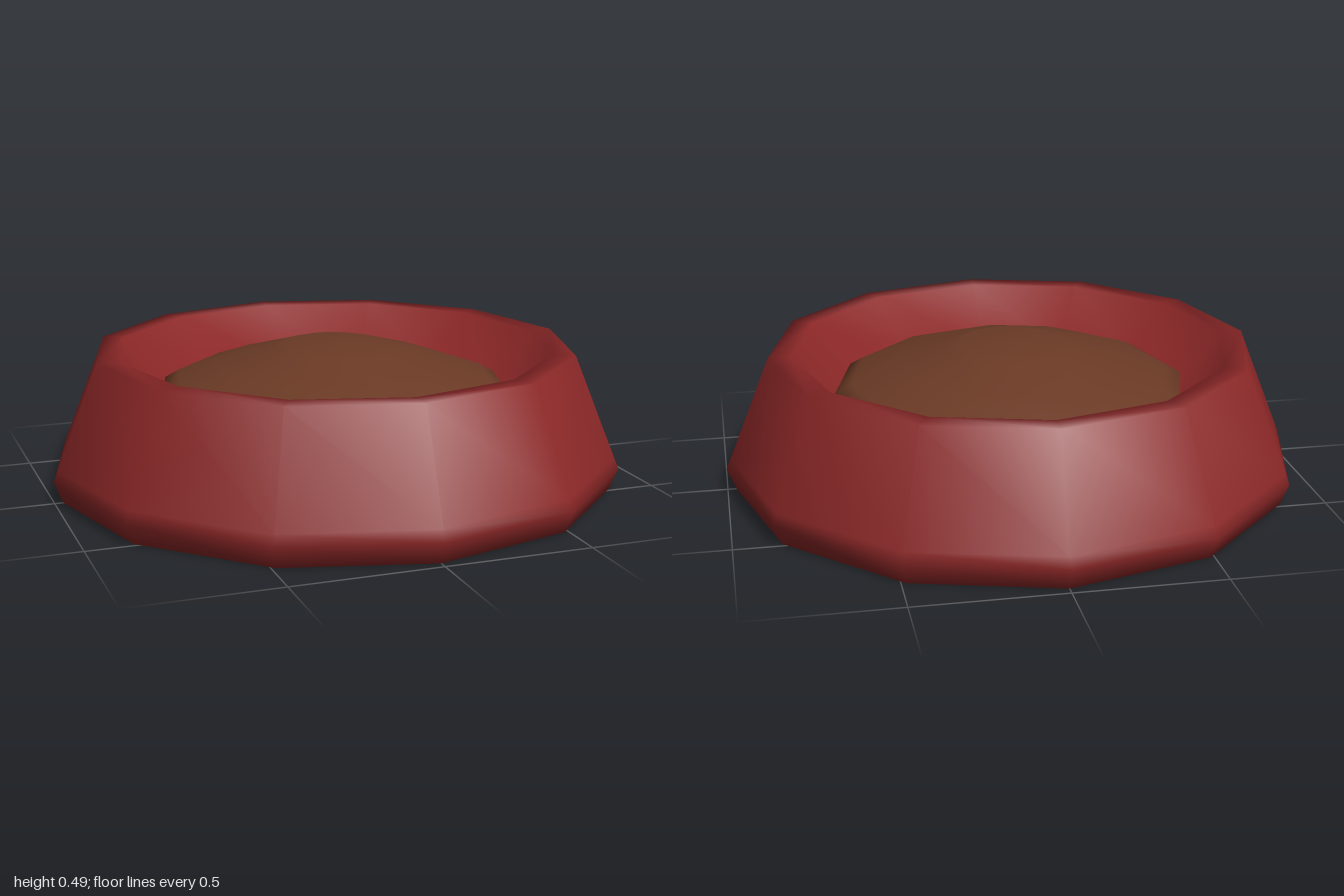
import * as THREE from 'three';

const SIDES = 12;

// Twelve-sided turned part from a [radius, height] profile
function turned(name, profile, material) {
  const points = profile.map(([r, y]) => new THREE.Vector2(r, y));
  const mesh = new THREE.Mesh(new THREE.LatheGeometry(points, SIDES), material);
  mesh.name = name;
  return mesh;
}

export function createModel() {
  const bowlRed = new THREE.MeshStandardMaterial({ color: 0x8b2727 });
  bowlRed.name = 'bowlRed';
  const foodBrown = new THREE.MeshStandardMaterial({ color: 0x6a3a25 });
  foodBrown.name = 'foodBrown';

  const model = new THREE.Group();
  model.name = 'petBowl';

  // Bowl: underside, bevelled foot, sloped outer wall, flat rim, inner wall and floor
  model.add(turned('bowl', [
    [0, 0], [0.88, 0], [0.97, 0], [1, 0.075], [0.985, 0.112],
    [0.84, 0.47], [0.76, 0.47], [0.58, 0.27], [0, 0.25],
  ], bowlRed));

  // Food: low mound that dips into the bowl at its edge
  model.add(turned('food', [
    [0.61, 0.28], [0.615, 0.33], [0.56, 0.362], [0.4, 0.417],
    [0.22, 0.468], [0.17, 0.483], [0, 0.492],
  ], foodBrown));

  return model;
}
